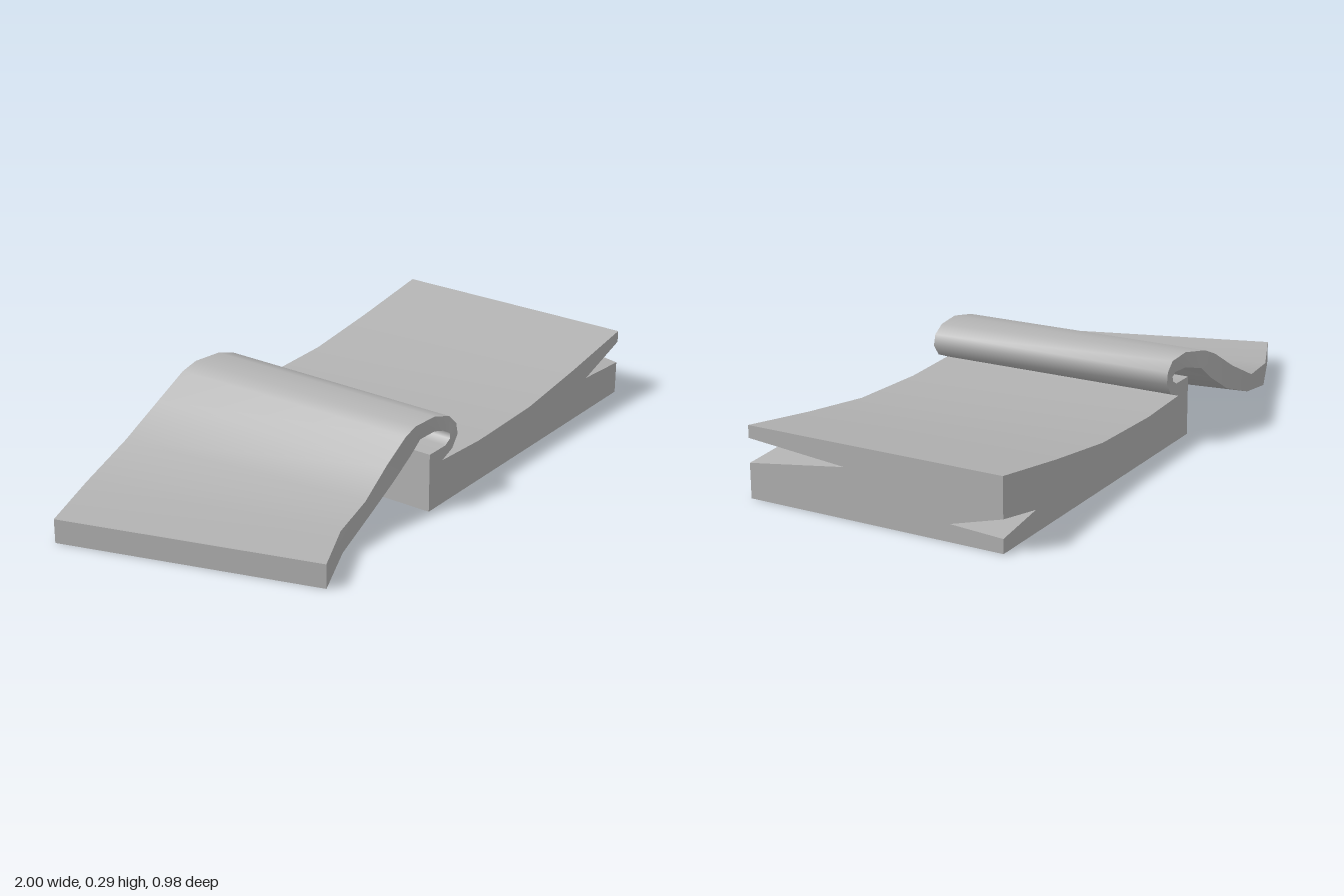
import * as THREE from 'three';

const grey = new THREE.MeshStandardMaterial({ color: 0xb2b2b2, side: THREE.DoubleSide });
grey.name = 'plain grey';

const FRONT = 0.45, BACK = -0.42, LEFT = -0.16, RIGHT = 1;

// Ruled sheet between two polylines of equal length
function sheet(a, b) {
  const pos = [], idx = [];
  a.forEach((p, i) => {
    pos.push(...p, ...b[i]);
    if (i > 0) {
      const k = 2 * (i - 1);
      idx.push(k, k + 1, k + 3, k, k + 3, k + 2);
    }
  });
  const g = new THREE.BufferGeometry();
  g.setAttribute('position', new THREE.Float32BufferAttribute(pos, 3));
  g.setIndex(idx);
  g.computeVertexNormals();
  return g;
}

// Flat polygon from [x, y] points
function panel(points) {
  return new THREE.ShapeGeometry(new THREE.Shape(points.map(p => new THREE.Vector2(...p))));
}

export function createModel() {
  const model = new THREE.Group();
  model.name = 'hookedBlock';
  const add = (name, geometry, parent) => {
    const m = new THREE.Mesh(geometry, grey);
    m.name = name;
    parent.add(m);
    return m;
  };

  // Flap stations: [back x, back z, front x, front z, top y, bottom y, bottom x shift]
  const flapStations = [
    [-1, -0.335, -0.74, 0.49, 0.08, 0, 0],
    [-0.76, -0.43, -0.55, 0.4, 0.08, 0.003, 0.01],
    [-0.51, -0.488, -0.41, 0.388, 0.117, 0.065, 0.03],
    [-0.34, -0.493, -0.3, 0.388, 0.195, 0.128, 0.04],
    [-0.23, -0.482, -0.215, 0.398, 0.262, 0.19, 0.03],
    [-0.18, -0.468, -0.175, 0.407, 0.285, 0.232, 0.025],
    [-0.1, -0.438, -0.1, 0.425, 0.295, 0.245, 0],
    [-0.04, -0.422, -0.04, 0.438, 0.279, 0.237, -0.02],
    [-0.012, -0.42, -0.012, 0.447, 0.248, 0.225, -0.035],
    [-0.007, -0.42, -0.007, 0.45, 0.21, 0.209, -0.043],
    [-0.035, -0.42, -0.035, 0.45, 0.172, 0.195, -0.04],
    [-0.09, -0.42, -0.09, 0.45, 0.15, 0.195, -0.07],
  ];
  const topBack = flapStations.map(s => [s[0], s[4], s[1]]);
  const topFront = flapStations.map(s => [s[2], s[4], s[3]]);
  const lowBack = flapStations.map(s => [s[0] + s[6], s[5], s[1]]);
  const lowFront = flapStations.map(s => [s[2] + s[6], s[5], s[3]]);

  const flap = new THREE.Group();
  flap.name = 'curledFlap';
  model.add(flap);
  add('flapTop', sheet(topBack, topFront), flap);
  add('flapUnderside', sheet(lowFront, lowBack), flap);
  add('flapFrontEdge', sheet(topFront, lowFront), flap);
  add('flapBackEdge', sheet(lowBack, topBack), flap);
  add('flapEnd', sheet([topBack[0], topFront[0]], [lowBack[0], lowFront[0]]), flap);

  // Hollow block, open underneath
  const block = new THREE.Group();
  block.name = 'block';
  model.add(block);
  const topCurve = [[-0.09, 0.15], [0.12, 0.14], [0.42, 0.148], [0.7, 0.184], [1, 0.23]];
  add('blockTop', sheet(
    topCurve.map(([x, y]) => [x, y, BACK]),
    topCurve.map(([x, y]) => [x, y, FRONT])), block);

  // Corner notches: tip on the long wall, tip on the end wall, corner heights
  const notches = {
    front: { z: FRONT, tipX: 0.79, tipXY: 0.125, tipZ: 0.11, tipZY: 0.16, low: 0.112, high: 0.19 },
    back: { z: BACK, tipX: 0.82, tipXY: 0.07, tipZ: -0.245, tipZY: 0.055, low: 0.045, high: 0.103 },
  };

  // Long walls with their notch cut out
  const wall = n => [
    [LEFT, 0], [RIGHT, 0], [RIGHT, n.low], [n.tipX, n.tipXY], [RIGHT, n.high],
    ...topCurve.slice().reverse(), [LEFT, 0.195],
  ];
  add('frontWall', panel(wall(notches.front)), block).position.z = FRONT;
  const backWall = add('backWall',
    panel(wall(notches.back).map(([x, y]) => [-x, y])).rotateY(Math.PI), block);
  backWall.position.z = BACK;

  // End wall with both notches
  const f = notches.front, b = notches.back;
  const endOutline = [
    [FRONT, 0], [BACK, 0], [BACK, b.low], [b.tipZ, b.tipZY], [BACK, b.high],
    [BACK, 0.23], [FRONT, 0.23], [FRONT, f.high], [f.tipZ, f.tipZY], [FRONT, f.low],
  ].map(([z, y]) => [-z, y]);
  add('endWall', panel(endOutline).rotateY(Math.PI / 2), block).position.x = RIGHT;

  // Wall under the hook
  add('hookWall', sheet(
    [[LEFT, 0.195, BACK], [LEFT, 0.195, FRONT]],
    [[LEFT, 0, BACK], [LEFT, 0, FRONT]]), block);

  // Floor and roof of each notch
  for (const [side, n] of Object.entries(notches)) {
    for (const [part, y] of [['Floor', n.low], ['Roof', n.high]]) {
      const tri = [[n.tipX, n.tipXY, n.z], [RIGHT, y, n.z], [RIGHT, n.tipZY, n.tipZ]];
      // Floors face up, roofs face down
      if ((side === 'front') !== (part === 'Floor')) tri.reverse();
      const g = new THREE.BufferGeometry();
      g.setAttribute('position', new THREE.Float32BufferAttribute(tri.flat(), 3));
      g.computeVertexNormals();
      add(side + 'Notch' + part, g, block);
    }
  }
  return model;
}
